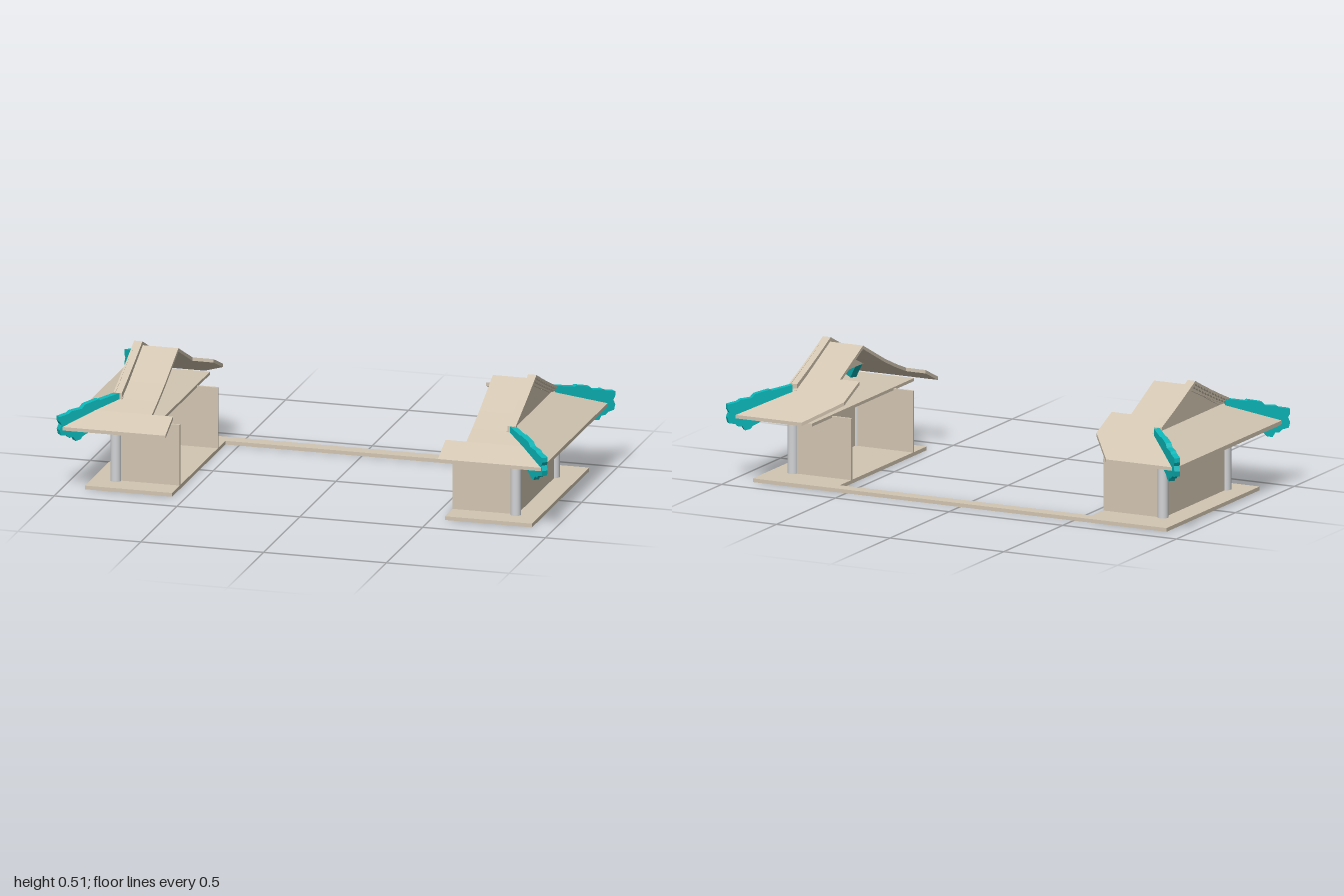
import * as THREE from 'three';

const stone = new THREE.MeshStandardMaterial({ color: 0xd2c5b1 });
stone.name = 'beige';
const teal = new THREE.MeshStandardMaterial({ color: 0x0cb6b8 });
teal.name = 'teal';
const grey = new THREE.MeshStandardMaterial({ color: 0xd2d3d6 });
grey.name = 'light grey';

// Box given by its minimum and maximum on each axis
function box(x0, x1, y0, y1, z0, z1) {
  return new THREE.BoxGeometry(x1 - x0, y1 - y0, z1 - z0)
    .translate((x0 + x1) / 2, (y0 + y1) / 2, (z0 + z1) / 2);
}

// Solid through four-cornered rings, capped at both ends, with hard edges
function loft(rings) {
  const out = [];
  const tri = (...pts) => pts.forEach((p) => out.push(...p));
  for (let k = 0; k < rings.length - 1; k++) {
    const a = rings[k], b = rings[k + 1];
    for (let i = 0; i < 4; i++) {
      const j = (i + 1) % 4;
      tri(a[i], b[i], b[j]);
      tri(a[i], b[j], a[j]);
    }
  }
  const s = rings[0], e = rings[rings.length - 1];
  tri(s[0], s[1], s[2]); tri(s[0], s[2], s[3]);
  tri(e[0], e[2], e[1]); tri(e[0], e[3], e[2]);
  const geo = new THREE.BufferGeometry();
  geo.setAttribute('position', new THREE.Float32BufferAttribute(out, 3));
  geo.computeVertexNormals();
  return geo;
}

// Plate with a (z, y) outline, extruded along x
function sidePlate(points, x0, x1) {
  const shape = new THREE.Shape(points.map(([z, y]) => new THREE.Vector2(-z, y)));
  return new THREE.ExtrudeGeometry(shape, { depth: x1 - x0, bevelEnabled: false })
    .rotateY(Math.PI / 2).translate(x0, 0, 0);
}

// Mirrored copy across x with its winding restored
function mirror(geo) {
  const g = geo.index ? geo.toNonIndexed() : geo.clone();
  g.scale(-1, 1, 1);
  for (const attr of Object.values(g.attributes)) {
    const n = attr.itemSize;
    for (let i = 0; i < attr.count; i += 3) {
      for (let c = 0; c < n; c++) {
        const p = (i + 1) * n + c, q = (i + 2) * n + c;
        [attr.array[p], attr.array[q]] = [attr.array[q], attr.array[p]];
      }
    }
  }
  return g;
}

// Gently sagging gable line, from the peak to the eave end
const gableY = (z, peak, end) => {
  const t = Math.min(1, Math.abs(z - 0.01) / 0.285);
  return peak + (end - peak) * t + 0.012 * t * (t - 1);
};

// Gable band whose lower edge is a row of small waves
function waveBoard(top, topEnd, low, lowEnd, wave, x0, x1) {
  const n = 96, pts = [];
  for (let i = 0; i <= n; i++) {
    const z = -0.275 + (0.57 * i) / n;
    pts.push([z, gableY(z, top, topEnd)]);
  }
  for (let i = n; i >= 0; i--) {
    const z = -0.275 + (0.57 * i) / n;
    pts.push([z, gableY(z, low, lowEnd) + wave * Math.sin((i / n) * Math.PI * 48)]);
  }
  return sidePlate(pts, x0, x1);
}

// Upright ornament running outward along a hip, for front (+1) or back (-1)
function hipOrnament(dir) {
  const outline = [
    [0.29, 0.378], [0.35, 0.362], [0.356, 0.366], [0.398, 0.353], [0.408, 0.338],
    [0.44, 0.334], [0.448, 0.326], [0.478, 0.318], [0.478, 0.3], [0.472, 0.285],
    [0.478, 0.265], [0.474, 0.243], [0.455, 0.238], [0.447, 0.227], [0.435, 0.228],
    [0.427, 0.21], [0.412, 0.214], [0.405, 0.226], [0.35, 0.26], [0.32, 0.3], [0.29, 0.335],
  ];
  const k = Math.SQRT2;
  const shape = new THREE.Shape(outline.map(([z, y]) => new THREE.Vector2((z - 0.29) * k, y)));
  return new THREE.ExtrudeGeometry(shape, { depth: 0.024, bevelEnabled: false })
    .translate(0, 0, -0.012)
    .rotateY(-dir * Math.PI / 4)
    .translate(0.803, 0, dir * 0.287);
}

export function createModel() {
  const model = new THREE.Group();
  model.name = 'twinPavilions';
  const sides = { 1: new THREE.Group(), [-1]: new THREE.Group() };
  sides[1].name = 'leftPavilion';
  sides[-1].name = 'rightPavilion';
  model.add(sides[1], sides[-1]);

  const add = (parent, name, geo, mat) => {
    const mesh = new THREE.Mesh(geo, mat);
    mesh.name = name;
    parent.add(mesh);
  };
  const pair = (name, geo, mat) => {
    add(sides[1], name, geo, mat);
    add(sides[-1], name, mirror(geo), mat);
  };

  // U-shaped base: two platforms joined by a narrow walkway
  const base = new THREE.Shape([
    [-0.91, 0.41], [0.91, 0.41], [0.91, -0.38], [0.555, -0.38],
    [0.555, 0.355], [-0.555, 0.355], [-0.555, -0.38], [-0.91, -0.38],
  ].map(([x, y]) => new THREE.Vector2(x, y)));
  add(model, 'base', new THREE.ExtrudeGeometry(base, { depth: 0.015, bevelEnabled: false })
    .rotateX(-Math.PI / 2), stone);

  // Walls, open toward the middle
  pair('frontWall', box(0.555, 0.815, 0.015, 0.262, 0.265, 0.275), stone);
  pair('backWall', box(0.555, 0.815, 0.015, 0.262, -0.26, -0.25), stone);
  pair('outerWall', box(0.808, 0.818, 0.015, 0.262, -0.255, 0.27), stone);

  // Corner columns
  for (const z of [0.279, -0.255]) {
    pair('column', new THREE.CylinderGeometry(0.021, 0.021, 0.245, 32)
      .translate(0.814, 0.1375, z), grey);
  }

  // Flat ceiling under the roof
  pair('ceiling', box(0.64, 0.972, 0.256, 0.268, -0.43, 0.437), stone);

  // Main roof: rows of z, height, inner x, outer x
  const t = 0.014;
  const rows = [
    [-0.46, 0.275, 0.67, 0.972], [-0.32, 0.34, 0.555, 0.83], [-0.29, 0.353, 0.555, 0.8],
    [-0.19, 0.396, 0.555, 0.8], [-0.19, 0.396, 0.64, 0.8], [0.005, 0.49, 0.64, 0.8],
    [0.19, 0.398, 0.64, 0.8], [0.29, 0.355, 0.64, 0.8], [0.37, 0.324, 0.64, 0.875],
    [0.37, 0.324, 0.555, 0.875], [0.475, 0.276, 0.555, 0.975],
  ];
  pair('mainRoof', loft(rows.map(([z, y, xi, xo]) =>
    [[xi, y, z], [xo, y, z], [xo, y - t, z], [xi, y - t, z]])), stone);

  // Outer roof slope between the hips
  const hipRing = (zIn, zOut) => [
    [0.8, 0.357, zIn], [0.975, 0.274, zOut], [0.975, 0.26, zOut], [0.8, 0.343, zIn]];
  pair('outerRoof', loft([hipRing(-0.29, -0.46), hipRing(0.29, 0.475)]), stone);

  // Gable wall and layered wavy trim along its edges
  pair('gableWall', sidePlate([[-0.285, 0.345], [0.295, 0.345], [0.295, 0.357],
    [0.15, 0.404], [0.01, 0.47], [-0.13, 0.404], [-0.285, 0.357]], 0.782, 0.796), stone);
  pair('gableBoard', waveBoard(0.507, 0.378, 0.465, 0.352, 0, 0.785, 0.803), stone);
  pair('gableWaveLower', waveBoard(0.507, 0.378, 0.481, 0.359, 0.004, 0.803, 0.811), stone);
  pair('gableWaveUpper', waveBoard(0.507, 0.38, 0.494, 0.368, 0.004, 0.811, 0.819), stone);

  // Hip ornaments
  pair('frontHipOrnament', hipOrnament(1), teal);
  pair('backHipOrnament', hipOrnament(-1), teal);

  return model;
}
